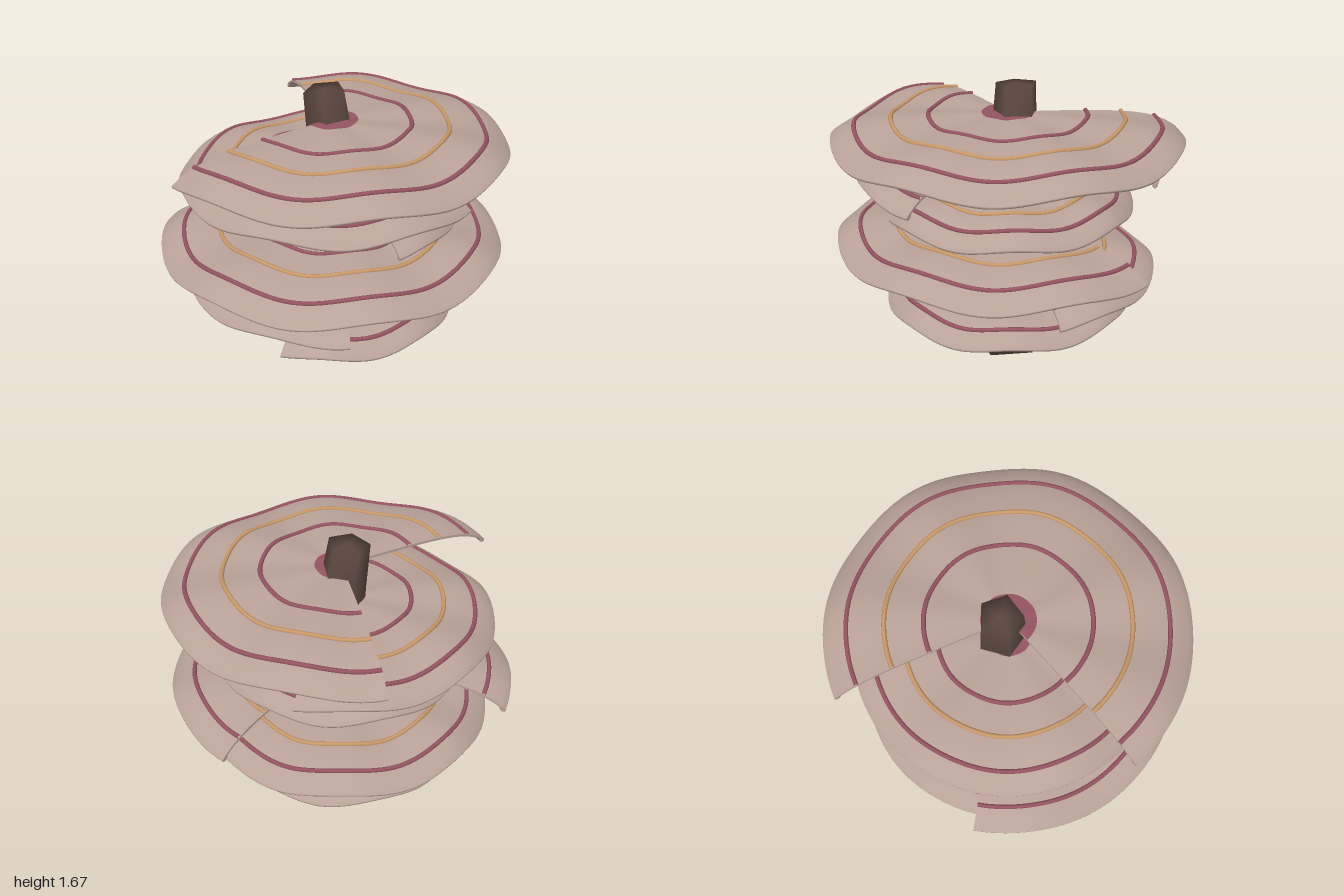
import * as THREE from 'three';
import { mergeGeometries, mergeVertices } from 'three/addons/utils/BufferGeometryUtils.js';

const material = (name, color, side = THREE.FrontSide) => {
  const m = new THREE.MeshStandardMaterial({ color, side });
  m.name = name;
  return m;
};

const SPAN = 4.4; // angle covered by each shelf
const GOLDEN = Math.PI * (3 - Math.sqrt(5));
const THICK = 0.014;

// Height of the cap's upper face at a relative radius, drooping at the rim
const height = (p) => -0.04 * p * p - 0.085 * p ** 8;

// Point on a wavy shelf: relative radius p, angle a, height y
const place = (R, p, a, y) => new THREE.Vector3(
  R * p * Math.cos(a),
  y + 0.021 * R * p ** 1.2 * Math.cos(7 * a - 0.7),
  R * p * Math.sin(a));

// Smooth surface from a rule; u runs outward over the top, v around
function grid(nu, nv, rule) {
  const pos = [], index = [];
  for (let i = 0; i <= nu; i++)
    for (let j = 0; j <= nv; j++) pos.push(...rule(i / nu, j / nv).toArray());
  for (let i = 0; i < nu; i++)
    for (let j = 0; j < nv; j++) {
      const a = i * (nv + 1) + j, c = a + nv + 1;
      index.push(a, a + 1, c, a + 1, c + 1, c);
    }
  const g = new THREE.BufferGeometry();
  g.setAttribute('position', new THREE.Float32BufferAttribute(pos, 3));
  g.setIndex(index);
  g.computeVertexNormals();
  return g;
}

const angle = (v) => (v - 0.5) * SPAN;

// Sweep a list of [radius, height] pairs around the shelf's sector
const sweep = (R, profile) => grid(profile.length - 1, 96, (u, v) => {
  const [p, y] = profile[Math.round(u * (profile.length - 1))];
  return place(R, p, angle(v), y);
});

function line(from, to, n, drop) {
  return Array.from({ length: n + 1 }, (_, i) => {
    const p = from + (to - from) * i / n;
    return [p, height(p) - drop];
  });
}

export function createModel() {
  const bark = material('dark bark', 0x5c4840);
  const capSkin = material('pale cap', 0xb9a298, THREE.DoubleSide);
  const under = material('underside', 0x8f847d, THREE.DoubleSide);
  const gillDark = material('gill', 0x5e524c, THREE.DoubleSide);
  const plum = material('plum', 0x945460, THREE.DoubleSide);
  const ochre = material('ochre band', 0xc8986a, THREE.DoubleSide);

  const model = new THREE.Group();
  const add = (parent, name, geometry, mat) => {
    const m = new THREE.Mesh(geometry, mat);
    m.name = name;
    parent.add(m);
  };

  // Five-sided tapering trunk, bent along a curve, softly shaded over its ends
  const path = new THREE.CatmullRomCurve3([
    new THREE.Vector3(0, 0.026, 0), new THREE.Vector3(0.055, 0.5, 0),
    new THREE.Vector3(0.04, 1.05, -0.025), new THREE.Vector3(-0.03, 1.66, -0.053)]);
  const tube = new THREE.CylinderGeometry(1, 1, 1, 5, 6).rotateY(-Math.PI / 2);
  tube.deleteAttribute('uv');
  tube.deleteAttribute('normal');
  const trunk = mergeVertices(tube);
  const tp = trunk.attributes.position;
  for (let i = 0; i < tp.count; i++) {
    const t = THREE.MathUtils.clamp(tp.getY(i) + 0.5, 0, 1);
    const r = 0.22 - 0.1 * t, x = tp.getX(i) * r, z = tp.getZ(i) * r;
    const c = path.getPointAt(t), d = path.getTangentAt(t);
    tp.setXYZ(i, c.x + x * d.y, c.y - x * d.x, c.z + z);
  }
  trunk.computeVertexNormals();
  add(model, 'trunk', trunk, bark);

  // Cap section: over the top, round the lip and a little way under
  const capProfile = [...line(0.01, 1, 32, 0), [1.0, -0.133], [0.994, -0.14],
    [0.982, -0.142], [0.97, -0.135], ...line(0.958, 0.95, 1, THICK)];
  const underProfile = line(0.95, 0.01, 24, THICK);

  for (let i = 0; i < 6; i++) {
    const R = [0.73, 0.87, 1][i % 3];
    const shelf = new THREE.Group();
    shelf.name = 'shelf' + (i + 1);
    shelf.position.y = 0.498 + 0.2 * i;
    shelf.rotation.y = i * GOLDEN;
    model.add(shelf);

    add(shelf, 'cap', sweep(R, capProfile), capSkin);
    add(shelf, 'underside', sweep(R, underProfile), under);

    // Flat faces closing both cut ends
    const section = new THREE.Shape([...capProfile, ...underProfile.slice(1)]
      .map(([p, y]) => new THREE.Vector2(p, y)));
    for (const v of [0, 1]) {
      const end = new THREE.ShapeGeometry(section);
      const ep = end.attributes.position;
      for (let k = 0; k < ep.count; k++) {
        const q = place(R, ep.getX(k), angle(v), ep.getY(k));
        ep.setXYZ(k, q.x, q.y, q.z);
      }
      end.computeVertexNormals();
      add(shelf, 'cutEnd', end, capSkin);
    }

    // Plum centre, seen above and below
    add(shelf, 'centreTop', sweep(R, line(0.01, 0.15, 4, -0.004)), plum);
    add(shelf, 'centreBottom', sweep(R, line(0.15, 0.01, 4, THICK + 0.004)), plum);

    // Raised growth bands
    [[0.45, plum], [0.66, ochre], [0.865, plum]].forEach(([p, mat]) => {
      const points = Array.from({ length: 57 }, (_, k) =>
        place(R, p, angle(k / 56), height(p) + 0.001));
      add(shelf, 'growthBand',
        new THREE.TubeGeometry(new THREE.CatmullRomCurve3(points), 112, 0.013, 8), mat);
    });

    // Radial gills, each a narrow ridge
    const gills = [];
    for (let k = 0; k < 30; k++) {
      const a = angle((k + 0.5) / 30);
      gills.push(grid(12, 2, (u, v) => {
        const p = 0.94 - 0.78 * u, side = v * 2 - 1;
        const depth = (1 - Math.abs(side)) * 0.008;
        return place(R, p, a + side * 0.004 / (R * p), height(p) - THICK - depth);
      }));
    }
    add(shelf, 'gills', mergeGeometries(gills), gillDark);
  }
  return model;
}
